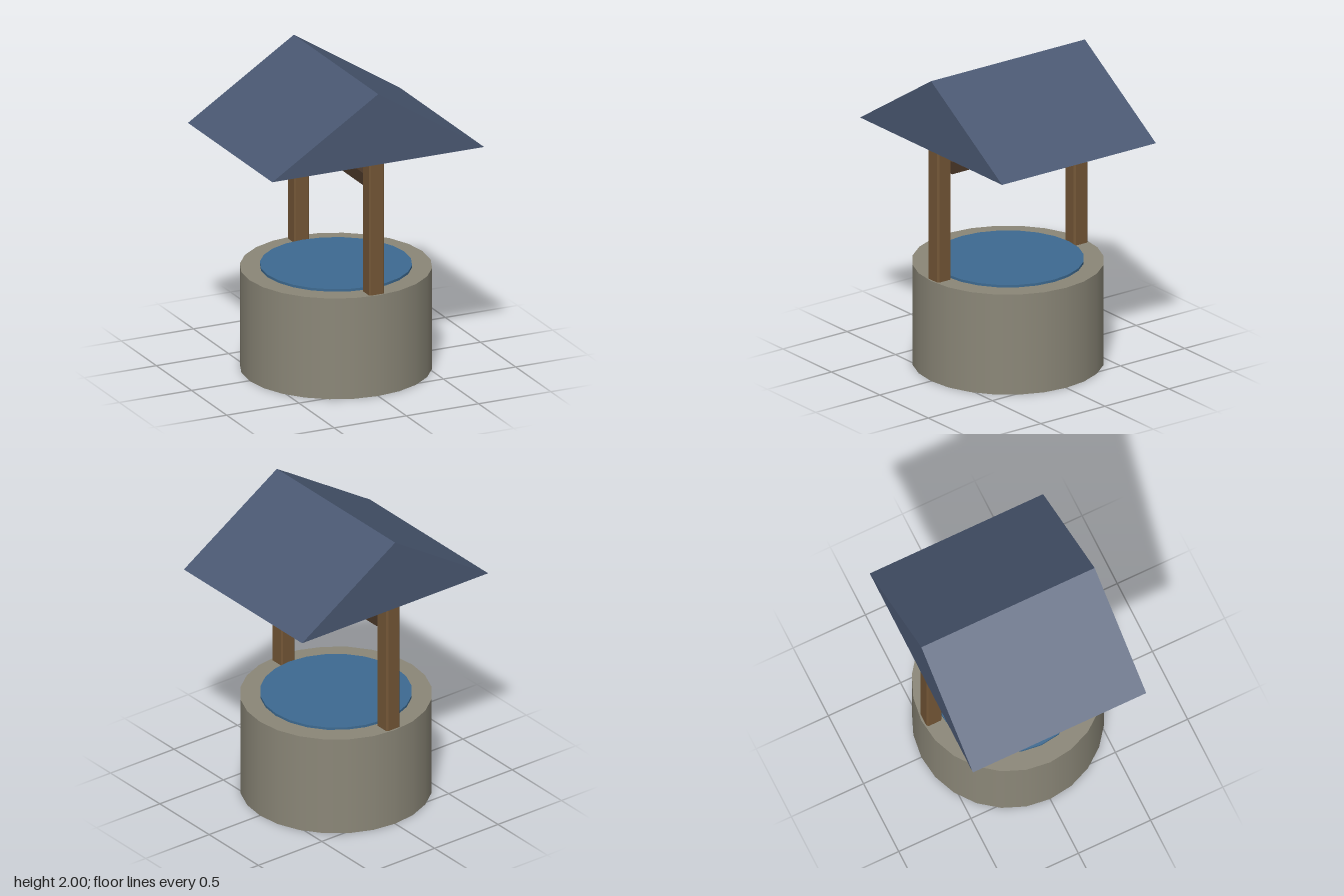
import * as THREE from 'three';

const material = (color) => new THREE.MeshStandardMaterial({ color });

export function createModel() {
  const well = new THREE.Group();
  well.name = 'well';

  const add = (name, geometry, mat, x = 0, y = 0, z = 0) => {
    const mesh = new THREE.Mesh(geometry, mat);
    mesh.name = name;
    mesh.position.set(x, y, z);
    well.add(mesh);
    return mesh;
  };

  const baseTop = 0.667, eaves = 1.533, ridge = 2;

  // Round stone base and the water disc just above its rim
  add('stoneBase', new THREE.CylinderGeometry(0.6, 0.6, baseTop, 24), material(0x8b8778), 0, baseTop / 2);
  add('water', new THREE.CylinderGeometry(0.475, 0.475, 0.033, 24), material(0x3d6a91), 0, 0.667);

  // Square posts with chamfered vertical edges, front and back
  const h = 0.053, c = 0.043;
  const section = new THREE.Shape([
    [h, -c], [h, c], [c, h], [-c, h], [-h, c], [-h, -c], [-c, -h], [c, -h],
  ].map(([x, y]) => new THREE.Vector2(x, y)));
  const postGeometry = new THREE.ExtrudeGeometry(section, { depth: eaves - baseTop, bevelEnabled: false });
  postGeometry.rotateX(-Math.PI / 2);
  const wood = material(0x735636);
  add('frontPost', postGeometry, wood, 0, baseTop, 0.533);
  add('backPost', postGeometry, wood, 0, baseTop, -0.533);

  // Cross beam between the posts
  add('crossBeam', new THREE.BoxGeometry(0.08, 0.08, 0.933), material(0x4a3728), 0, 1.4, 0);

  // Solid gable roof
  const gable = new THREE.Shape();
  gable.moveTo(-0.733, eaves).lineTo(0.733, eaves).lineTo(0, ridge).closePath();
  const roofGeometry = new THREE.ExtrudeGeometry(gable, { depth: 1.2, bevelEnabled: false });
  add('roof', roofGeometry, material(0x4a5872), 0, 0, -0.6);

  return well;
}
